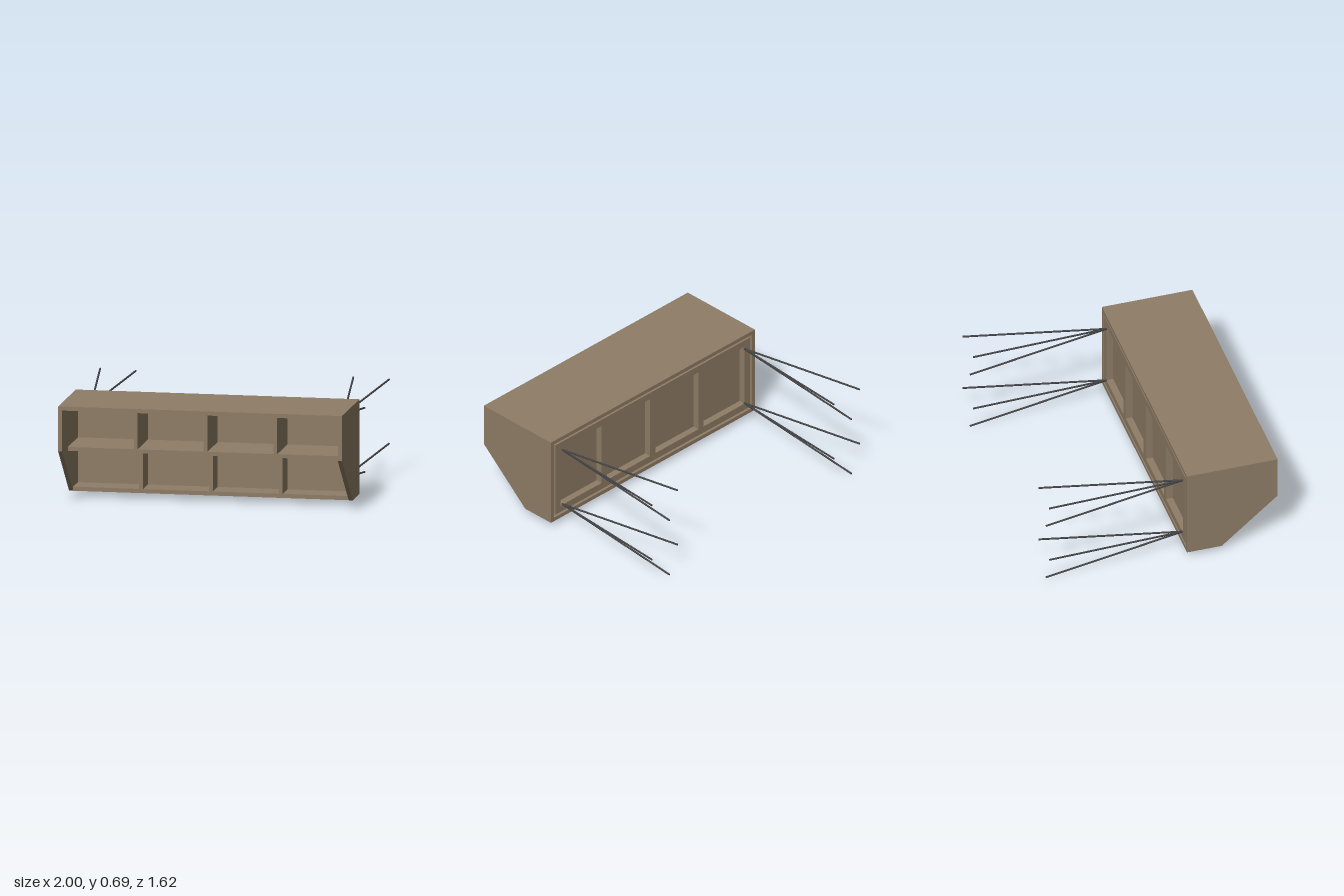
import * as THREE from 'three';

const wood = new THREE.MeshStandardMaterial({ color: 0x8f7d66 });
const metal = new THREE.MeshStandardMaterial({ color: 0x444446 });

const BACK = 0.17, FRONT = 0.81, BOTTOM = 0.04, TOP = 0.69;
const HALF = 0.975, T = 0.028; // half width, board thickness

// Box given by its min and max on each axis
function board(name, [x0, x1], [y0, y1], [z0, z1]) {
  const mesh = new THREE.Mesh(new THREE.BoxGeometry(x1 - x0, y1 - y0, z1 - z0), wood);
  mesh.position.set((x0 + x1) / 2, (y0 + y1) / 2, (z0 + z1) / 2);
  mesh.name = name;
  return mesh;
}

// Side board with the lower front corner cut off at a slant
function sidePanel(name, x) {
  const shape = new THREE.Shape([
    [BACK, BOTTOM], [0.415, BOTTOM], [FRONT, 0.38], [FRONT, TOP - T], [BACK, TOP - T],
  ].map(([z, y]) => new THREE.Vector2(-z, y)));
  const geo = new THREE.ExtrudeGeometry(shape, { depth: T, bevelEnabled: false });
  geo.rotateY(Math.PI / 2);
  const mesh = new THREE.Mesh(geo, wood);
  mesh.position.x = x;
  mesh.name = name;
  return mesh;
}

// Straight round rod between two points
function rod(name, a, b, r) {
  const dir = b.clone().sub(a);
  const mesh = new THREE.Mesh(new THREE.CylinderGeometry(r, r, dir.length(), 10), metal);
  mesh.position.copy(a).add(b).multiplyScalar(0.5);
  mesh.quaternion.setFromUnitVectors(new THREE.Vector3(0, 1, 0), dir.normalize());
  mesh.name = name;
  return mesh;
}

export function createModel() {
  const model = new THREE.Group();
  model.name = 'shelfUnit';

  // Carcass
  const inX = HALF - T;
  const carcass = new THREE.Group();
  carcass.name = 'carcass';
  carcass.add(
    board('topPanel', [-HALF, HALF], [TOP - T, TOP], [BACK, FRONT]),
    board('bottomPanel', [-inX, inX], [BOTTOM, BOTTOM + T], [BACK, 0.415]),
    sidePanel('rightSide', -HALF),
    sidePanel('leftSide', inX),
    board('backPanel', [-inX, inX], [BOTTOM + T, TOP - T], [0.22, 0.24]),
    board('middleShelf', [-inX, inX], [0.35, 0.376], [0.24, 0.61]),
  );
  // Dividers: deep ones above the shelf, shallow ones below
  for (const x of [-0.48, 0, 0.48]) {
    const span = [x - 0.013, x + 0.013];
    carcass.add(
      board('upperDivider', span, [0.376, TOP - T], [0.24, 0.61]),
      board('lowerDivider', span, [BOTTOM + T, 0.35], [0.24, 0.415]),
    );
  }
  model.add(carcass);

  // Raised frame on the back, with a narrow gap to the carcass
  const frame = new THREE.Group();
  frame.name = 'backFrame';
  const depth = [BACK + 0.002, 0.22];
  frame.add(
    board('topRail', [-0.93, 0.93], [0.596, 0.646], depth),
    board('bottomRail', [-0.93, 0.93], [0.084, 0.134], depth),
  );
  for (const x of [-0.905, -0.4625, 0, 0.4625, 0.905]) {
    frame.add(board('stile', [x - 0.025, x + 0.025], [0.134, 0.596], depth));
  }
  model.add(frame);

  // Four sets of three rods fanning out backwards
  const spread = [[-0.121, 0.073], [0.124, 0.066], [-0.044, -0.134]];
  for (const x of [-0.873, 0.867]) {
    for (const y of [0.143, 0.583]) {
      const set = new THREE.Group();
      set.name = 'rodSet';
      const apex = new THREE.Vector3(x, y, BACK);
      for (const [dx, dy] of spread) {
        set.add(rod('rod', apex, new THREE.Vector3(x + dx, y + dy, -0.81), 0.0065));
      }
      model.add(set);
    }
  }
  return model;
}
